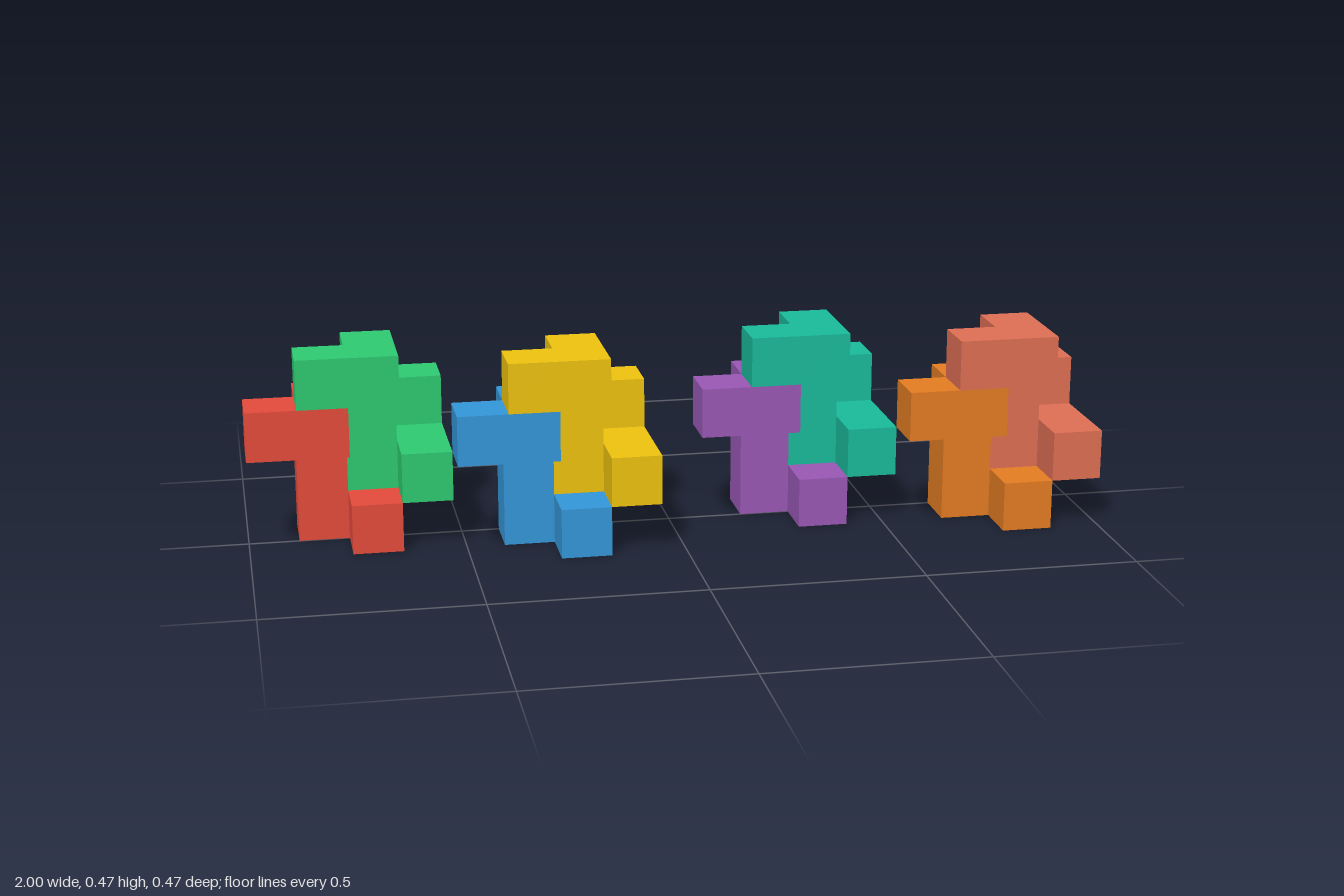
import * as THREE from 'three';
import { mergeGeometries } from 'three/addons/utils/BufferGeometryUtils.js';

const U = 2 / 17; // edge of one cube cell

// One puzzle piece as cube cells [x, y, z], z growing toward the front
const CELLS = [
  [0, 2, 2], [1, 2, 2],             // top arm
  [1, 2, 1], [1, 1, 1], [1, 0, 1],  // upright column
  [2, 0, 0], [2, 0, 1], [2, 0, 2],  // foot bar
  [2, 1, 0],                        // raised rear end
];

const DIRECTIONS = [
  [1, 0, 0], [-1, 0, 0], [0, 1, 0], [0, -1, 0], [0, 0, 1], [0, 0, -1],
];

// Outer skin of the cells: a square wherever a cell has no neighbour
function cellSkin(cells) {
  const filled = new Set(cells.map(String));
  const front = new THREE.Vector3(0, 0, 1);
  const faces = [];
  for (const cell of cells) {
    for (const dir of DIRECTIONS) {
      if (filled.has(String(cell.map((c, i) => c + dir[i])))) continue;
      const turn = new THREE.Quaternion().setFromUnitVectors(front, new THREE.Vector3(...dir));
      const centre = cell.map((c, i) => (c + 0.5 + dir[i] / 2) * U);
      faces.push(new THREE.PlaneGeometry(U, U).applyQuaternion(turn).translate(...centre));
    }
  }
  return mergeGeometries(faces);
}

// Interlocked pairs: corner position in cells, lower and upper colours
const PAIRS = [
  { name: 'redGreenPair', x: -8.5, z: -2, lower: 0xe74c3c, upper: 0x2ecc71 },
  { name: 'blueYellowPair', x: -4.5, z: -1, lower: 0x3498db, upper: 0xf1c40f },
  { name: 'purpleTealPair', x: 0.5, z: -2, lower: 0x9b59b6, upper: 0x1abc9c },
  { name: 'orangeCoralPair', x: 4.5, z: -1, lower: 0xe67e22, upper: 0xe17055 },
];

export function createModel() {
  const model = new THREE.Group();
  model.name = 'interlockingCubePieces';
  const skin = cellSkin(CELLS);

  const addPiece = (pair, name, color, step) => {
    const piece = new THREE.Mesh(skin, new THREE.MeshStandardMaterial({ color }));
    piece.name = name;
    piece.position.set(step * U, step * U, 0);
    pair.add(piece);
  };

  for (const { name, x, z, lower, upper } of PAIRS) {
    const pair = new THREE.Group();
    pair.name = name;
    pair.position.set(x * U, 0, z * U);
    addPiece(pair, 'lowerPiece', lower, 0);
    addPiece(pair, 'upperPiece', upper, 1); // same shape, one cell right and up
    model.add(pair);
  }
  return model;
}
